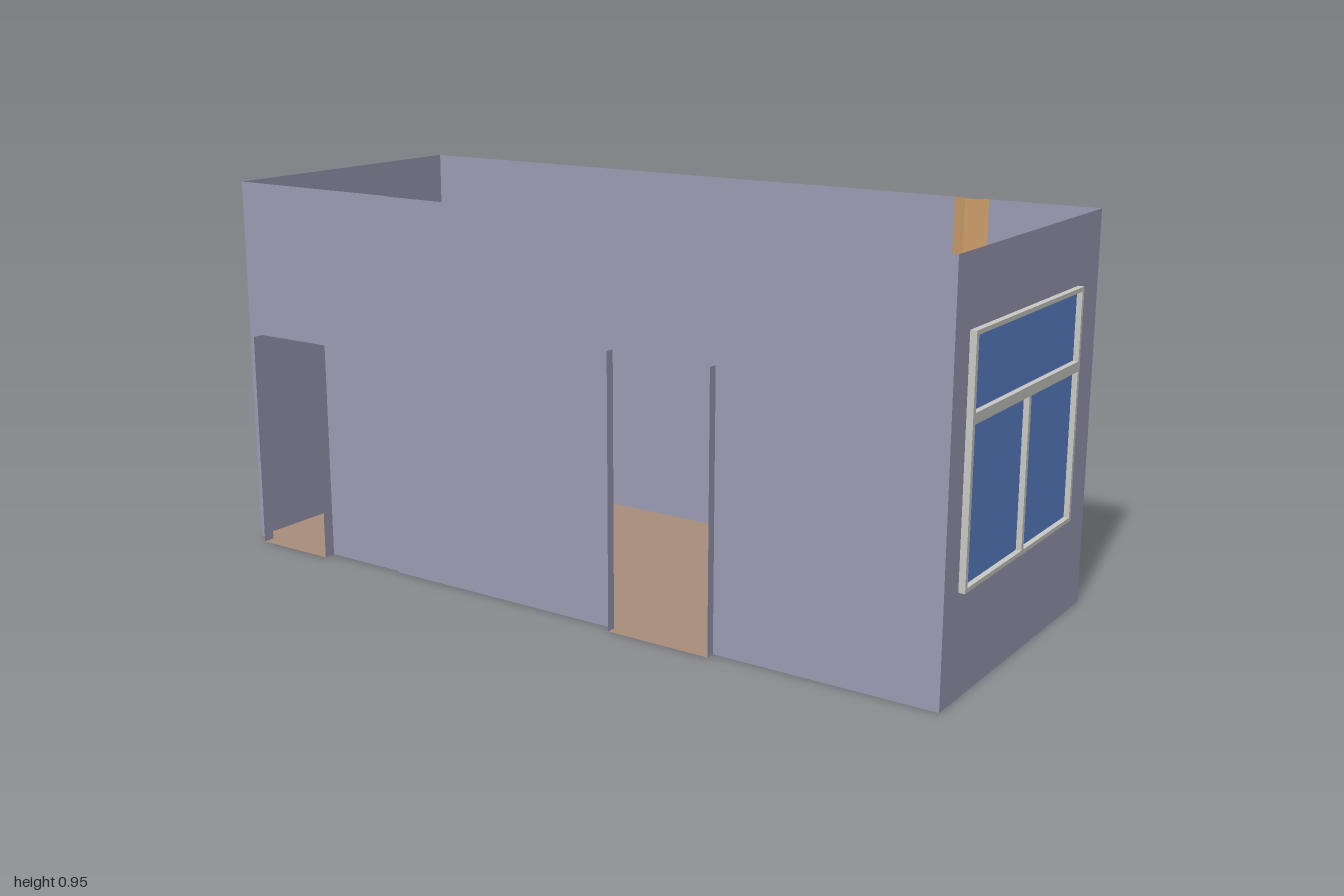
import * as THREE from 'three';

const H = 0.95, LEFT = 0.985, RIGHT = -1, BACK = -0.397, FRONT = 0.374, FRONT2 = 0.367, OUT = 0.397, STEP = -0.5;

const material = (name, color, side = THREE.DoubleSide) => {
  const m = new THREE.MeshStandardMaterial({ color, side });
  m.name = name;
  return m;
};
const polygon = (pts) => new THREE.Shape(pts.map(([x, y]) => new THREE.Vector2(x, y)));
const rect = (a, b, c, d) => [[a, c], [b, c], [b, d], [a, d]];

// Upright open sheet following a plan path of [x, z] points
function upright(path, h) {
  const pos = [];
  for (let i = 0; i < path.length - 1; i++) {
    const [x0, z0] = path[i], [x1, z1] = path[i + 1];
    pos.push(x0, 0, z0, x1, 0, z1, x1, h, z1, x0, 0, z0, x1, h, z1, x0, h, z0);
  }
  const g = new THREE.BufferGeometry();
  g.setAttribute('position', new THREE.Float32BufferAttribute(pos, 3));
  g.computeVertexNormals();
  return g;
}

export function createModel() {
  const group = new THREE.Group();
  const wall = material('wall paint', 0x9b9bb4);
  const floorMat = material('floor', 0xa98e7b);
  const pipe = material('column', 0xcc9c68);
  const frameMat = material('window frame', 0xc8c8c4);
  const glass = material('window glass', 0x5b83cb);
  const add = (name, geometry, mat) => {
    const m = new THREE.Mesh(geometry, mat);
    m.name = name;
    group.add(m);
    return m;
  };

  const doors = [
    { x0: -0.955, x1: -0.732, h: 0.555, z: FRONT2, w0: RIGHT, w1: STEP },
    { x0: 0.167, x1: 0.437, h: 0.66, z: FRONT, w0: STEP, w1: LEFT },
  ];
  const column = [[0.622, BACK], [0.655, -0.383], [0.682, -0.383], [0.71, BACK]];

  // Floor, with door sills and the column notch
  const plan = [[RIGHT, BACK], ...column, [LEFT, BACK], [LEFT, FRONT]];
  for (const d of [doors[1], doors[0]]) {
    plan.push([d.x1, d.z], [d.x1, OUT], [d.x0, OUT], [d.x0, d.z]);
    plan.push([d.w0, d.z]);
    if (d === doors[1]) plan.push([STEP, FRONT2]);
  }
  add('floor', new THREE.ShapeGeometry(polygon(plan)).rotateX(Math.PI / 2), floorMat);

  // Front wall panels with doorways and projecting jambs
  for (const d of doors) {
    const panel = polygon([[d.w0, 0], [d.x0, 0], [d.x0, d.h], [d.x1, d.h], [d.x1, 0], [d.w1, 0], [d.w1, H], [d.w0, H]]);
    add('frontWall', new THREE.ShapeGeometry(panel).translate(0, 0, d.z), wall);
    for (const x of [d.x0, d.x1]) add('doorJamb', upright([[x, d.z], [x, OUT]], d.h), wall);
  }
  add('frontWallStep', upright([[STEP, FRONT2], [STEP, FRONT]], H), wall);

  // Back and right walls, and the column set in the back wall
  add('backWall', upright([column[0], [RIGHT, BACK]], H), wall);
  add('backWallEnd', upright([[LEFT, BACK], column[3]], H), wall);
  add('rightWall', upright([[RIGHT, BACK], [RIGHT, FRONT2]], H), wall);
  add('column', upright([...column].reverse(), H), pipe);

  // Left wall with its window; shapes are drawn in (z, y)
  const opening = rect(-0.275, 0.305, 0.24, 0.79);
  const side = polygon(rect(BACK, FRONT, 0, H));
  side.holes.push(polygon(opening));
  add('leftWall', new THREE.ShapeGeometry(side).rotateY(-Math.PI / 2).translate(LEFT, 0, 0), wall);

  const panes = [
    rect(-0.265, 0.294, 0.62, 0.78),
    rect(0.014, 0.294, 0.25, 0.596),
    rect(-0.265, 0.003, 0.25, 0.596),
  ];
  const frame = polygon(opening);
  for (const p of panes) {
    frame.holes.push(polygon(p));
    add('windowPane', new THREE.ShapeGeometry(polygon(p)).rotateY(-Math.PI / 2).translate(LEFT + 0.002, 0, 0), glass);
  }
  add('windowFrame', new THREE.ExtrudeGeometry(frame, { depth: 0.015, bevelEnabled: false })
    .rotateY(-Math.PI / 2).translate(1, 0, 0), frameMat);

  return group;
}
